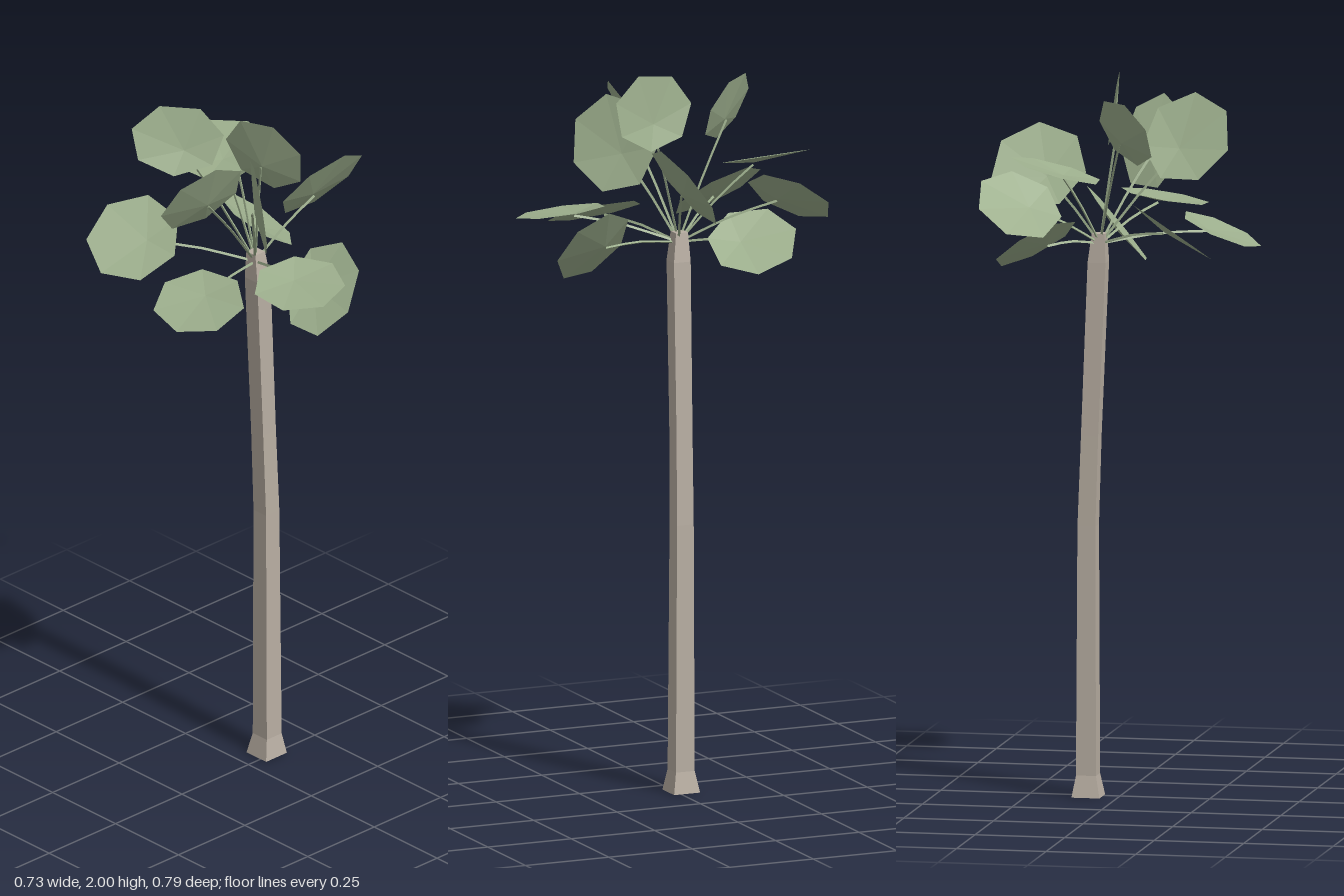
import * as THREE from 'three';

const V = (a) => new THREE.Vector3(...a);

const barkMaterial = new THREE.MeshStandardMaterial({ color: 0xb8aea2, flatShading: true });
const leafMaterial = new THREE.MeshStandardMaterial({ color: 0x9daf8d, flatShading: true, side: THREE.DoubleSide });

// Top of the trunk, where every stem starts
const CROWN = V([0.05, 1.53, -0.025]);

// Square trunk sections: height, centre x, centre z, half width
const TRUNK = [
  [0, 0.085, -0.017, 0.039],
  [0.06, 0.086, -0.016, 0.028],
  [0.75, 0.085, -0.018, 0.025],
  [1.0, 0.076, -0.02, 0.024],
  [1.48, 0.056, -0.022, 0.025],
  [1.56, 0.052, -0.026, 0.018],
];

// Fan leaves: centre, facing direction, level radius, steep radius
const LEAVES = [
  [[-0.195, 1.605, -0.25], [-0.53, 0.81, 0.25], 0.133, 0.135],
  [[-0.06, 1.87, -0.22], [-0.68, 0.35, 0.62], 0.13, 0.1],
  [[0.125, 1.765, -0.25], [-0.25, 0.95, 0.05], 0.125, 0.13],
  [[0.025, 1.895, 0.04], [0.95, 0.15, -0.2], 0.13, 0.108],
  [[0.225, 1.67, -0.28], [-0.35, 0.78, -0.5], 0.12, 0.13],
  [[-0.07, 1.795, 0.115], [0.81, 0.12, 0.57], 0.122, 0.138],
  [[0.2, 1.55, -0.18], [0.5, 0.8, 0.25], 0.125, 0.125],
  [[0.235, 1.73, 0.04], [0, 0.58, -0.81], 0.135, 0.135],
  [[-0.265, 1.562, 0.085], [-0.38, 0.92, 0.05], 0.138, 0.118],
  [[-0.185, 1.825, 0.01], [0.14, 0.5, -0.85], 0.128, 0.135],
  [[-0.07, 1.62, 0.275], [-0.15, 0.97, 0.08], 0.128, 0.125],
  [[0.055, 1.545, 0.235], [-0.75, 0.62, 0.18], 0.107, 0.138],
];

// Square column bent through its sections
function makeTrunk() {
  const geometry = new THREE.CylinderGeometry(Math.SQRT2, Math.SQRT2, TRUNK.length - 1, 4, TRUNK.length - 1);
  geometry.rotateY(Math.PI / 4);
  const p = geometry.attributes.position;
  for (let i = 0; i < p.count; i++) {
    const [y, cx, cz, half] = TRUNK[Math.round(p.getY(i) + (TRUNK.length - 1) / 2)];
    p.setXYZ(i, cx + p.getX(i) * half, y, cz + p.getZ(i) * half);
  }
  geometry.computeVertexNormals();
  const mesh = new THREE.Mesh(geometry, barkMaterial);
  mesh.name = 'trunk';
  return mesh;
}

// Seven-sided, shallowly cupped fan leaf on a thin bent stem
function makeLeaf([centre, facing, levelRadius, steepRadius], index) {
  const group = new THREE.Group();
  group.name = 'leaf' + (index + 1);
  const c = V(centre);
  const n = V(facing).normalize();
  const u = new THREE.Vector3(0, 1, 0).cross(n).normalize();
  const v = n.clone().cross(u);

  // The hub sits off centre, toward the trunk
  const inward = CROWN.clone().sub(c).projectOnPlane(n).normalize();
  const hub = c.clone().addScaledVector(inward, 0.035).addScaledVector(n, -0.012);

  const sides = 7;
  const points = [hub];
  const faces = [];
  for (let i = 0; i < sides; i++) {
    const a = Math.PI / 2 + index * 0.4 + (i / sides) * Math.PI * 2;
    points.push(c.clone()
      .addScaledVector(u, Math.cos(a) * levelRadius)
      .addScaledVector(v, Math.sin(a) * steepRadius));
    faces.push(0, 1 + i, 1 + ((i + 1) % sides));
  }
  const bladeGeometry = new THREE.BufferGeometry().setFromPoints(points);
  bladeGeometry.setIndex(faces);
  bladeGeometry.computeVertexNormals();
  const blade = new THREE.Mesh(bladeGeometry, leafMaterial);
  blade.name = 'blade';

  // The stem ends just beneath the hub
  const tip = hub.clone().addScaledVector(n, -0.006);
  const bend = CROWN.clone().lerp(tip, 0.55);
  bend.y += 0.01;
  const path = new THREE.CatmullRomCurve3([CROWN, bend, tip]);
  const stem = new THREE.Mesh(new THREE.TubeGeometry(path, 4, 0.004, 3), leafMaterial);
  stem.name = 'stem';

  group.add(blade, stem);
  return group;
}

export function createModel() {
  const tree = new THREE.Group();
  tree.name = 'fanPalm';
  const crown = new THREE.Group();
  crown.name = 'crown';
  LEAVES.forEach((leaf, i) => crown.add(makeLeaf(leaf, i)));
  tree.add(makeTrunk(), crown);
  return tree;
}
